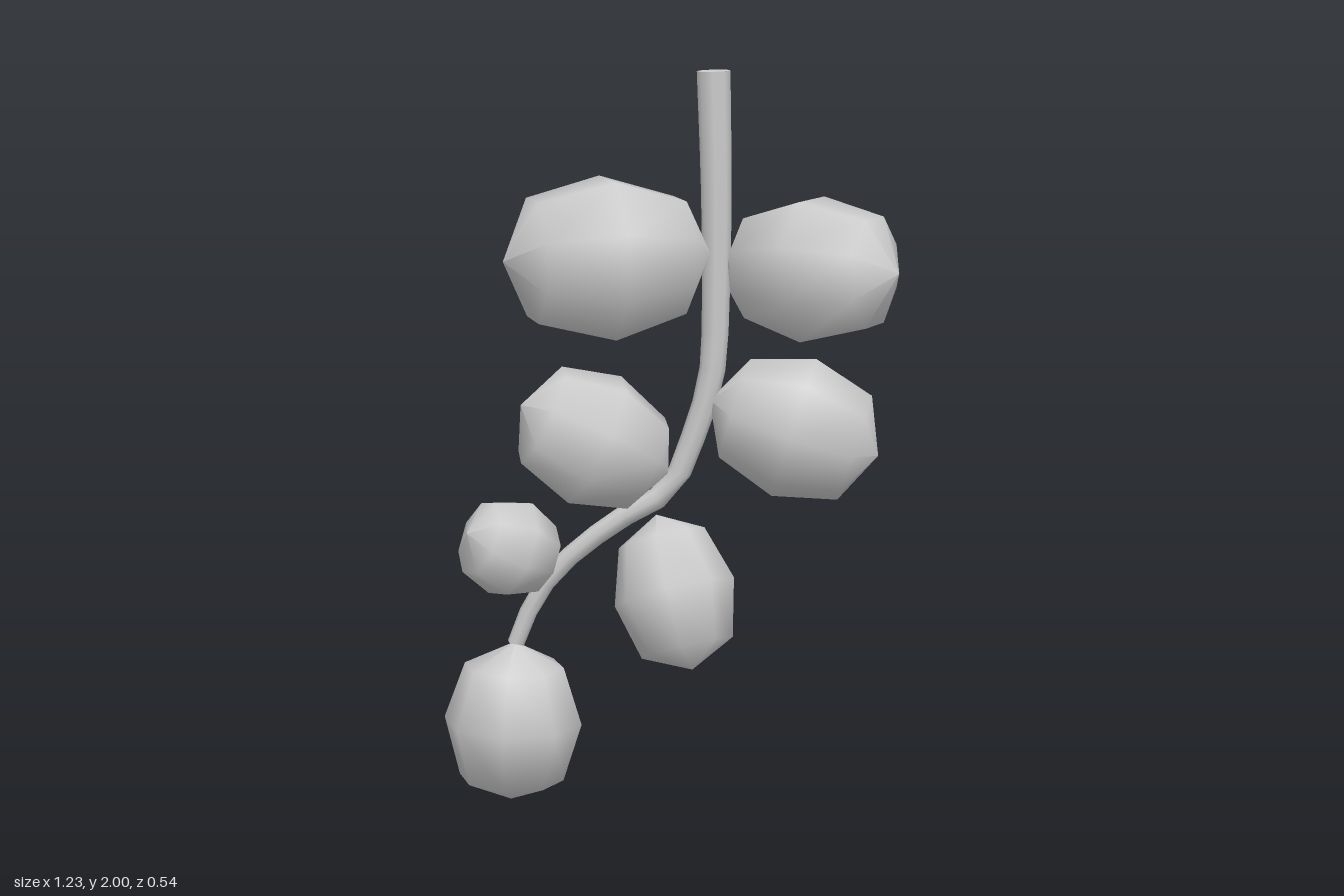
import * as THREE from 'three';

const material = new THREE.MeshStandardMaterial({ color: 0xcccccc });

// Berry outline from the blunt far end (-1) to the end at the stem (+1)
const profile = [[0, -1], [0.76, -0.72], [1, 0], [0.72, 0.7], [0, 1]]
  .map(([x, y]) => new THREE.Vector2(x, y));

// Faceted berry stretched between its stem end and its far end
function berry(name, near, far, rx, rz = rx) {
  const a = new THREE.Vector3(...near), b = new THREE.Vector3(...far);
  const axis = a.clone().sub(b);
  const mesh = new THREE.Mesh(new THREE.LatheGeometry(profile, 8), material);
  mesh.name = name;
  mesh.scale.set(rx, axis.length() / 2, rz);
  mesh.position.copy(a).add(b).multiplyScalar(0.5);
  mesh.quaternion.setFromUnitVectors(new THREE.Vector3(0, 1, 0), axis.normalize());
  return mesh;
}

// Curved eight-sided stem, thinning towards its lower end
function stem() {
  const z = -0.113, rings = 18, sides = 8;
  const curve = new THREE.CatmullRomCurve3([
    [0.117, 2], [0.125, 1.7], [0.125, 1.4], [0.115, 1.2], [0.07, 1.04], [0, 0.885],
    [-0.13, 0.8], [-0.27, 0.69], [-0.36, 0.58], [-0.42, 0.44],
  ].map(([x, y]) => new THREE.Vector3(x, y, z)));
  const geometry = new THREE.TubeGeometry(curve, rings, 1, sides);
  const pos = geometry.attributes.position;
  const v = new THREE.Vector3();
  for (let i = 0; i < pos.count; i++) {
    const t = Math.floor(i / (sides + 1)) / rings;
    const c = curve.getPointAt(t);
    v.fromBufferAttribute(pos, i).sub(c).multiplyScalar(0.044 - 0.021 * t).add(c);
    pos.setXYZ(i, v.x, v.y, v.z);
  }
  const group = new THREE.Group();
  group.name = 'stem';
  const tube = new THREE.Mesh(geometry, material);
  tube.name = 'stemTube';
  group.add(tube);
  // End caps
  [[0, 0.044, -1], [1, 0.023, 1]].forEach(([t, r, sign]) => {
    const cap = new THREE.Mesh(new THREE.CircleGeometry(r, sides), material);
    cap.name = t ? 'stemLowerCap' : 'stemUpperCap';
    cap.position.copy(curve.getPointAt(t));
    cap.quaternion.setFromUnitVectors(
      new THREE.Vector3(0, 0, 1), curve.getTangentAt(t).multiplyScalar(sign));
    group.add(cap);
  });
  return group;
}

export function createModel() {
  const model = new THREE.Group();
  model.name = 'berryBranch';
  model.add(
    stem(),
    berry('upperRightBerry', [0.115, 1.53, -0.06], [-0.4, 1.53, 0.15], 0.22),
    berry('upperLeftBerry', [0.16, 1.5, -0.07], [0.61, 1.51, 0.12], 0.195),
    berry('middleRightBerry', [0, 0.93, -0.1], [-0.38, 1.13, 0.01], 0.185, 0.17),
    berry('middleLeftBerry', [0.11, 1.13, -0.11], [0.56, 0.99, -0.1], 0.195, 0.175),
    berry('smallBerry', [-0.31, 0.68, -0.08], [-0.52, 0.79, 0.06], 0.137),
    berry('lowerLeftBerry', [-0.03, 0.82, -0.08], [0.08, 0.43, 0.05], 0.165),
    berry('endBerry', [-0.42, 0.45, -0.1], [-0.435, 0, -0.095], 0.19, 0.175),
  );
  return model;
}
